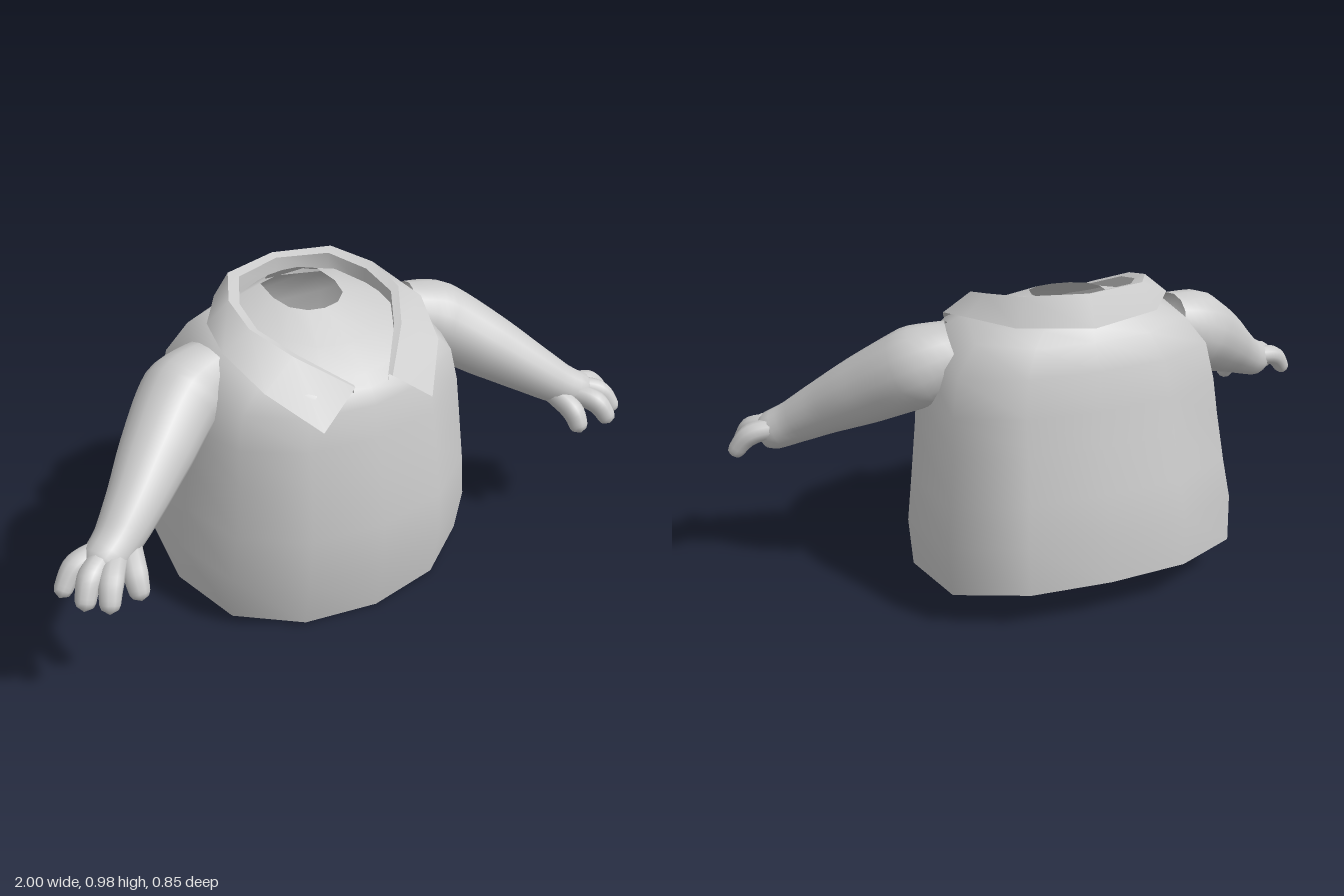
import * as THREE from 'three';
import { mergeVertices } from 'three/addons/utils/BufferGeometryUtils.js';

const material = new THREE.MeshStandardMaterial({ color: 0xcccccc, side: THREE.DoubleSide });

function addMesh(parent, name, geometry) {
  const mesh = new THREE.Mesh(geometry, material);
  mesh.name = name;
  parent.add(mesh);
  return mesh;
}

// Skin a list of equally long rows of [x, y, z] points
function loft(rows, closed) {
  const n = rows[0].length;
  const index = [];
  for (let i = 0; i < rows.length - 1; i++) {
    for (let j = 0; j < (closed ? n : n - 1); j++) {
      const k = (j + 1) % n;
      const a = i * n + j, b = i * n + k, c = a + n, d = b + n;
      index.push(a, b, c, b, d, c);
    }
  }
  const g = new THREE.BufferGeometry();
  g.setAttribute('position', new THREE.Float32BufferAttribute(rows.flat(2), 3));
  g.setIndex(index);
  g.computeVertexNormals();
  return g;
}

// Tapered tube: each point is [x, y, z, radius]; side mirrors it in x
function limb(points, side, segments, sides) {
  const curve = new THREE.CatmullRomCurve3(points.map(p => new THREE.Vector3(p[0] * side, p[1], p[2])));
  const g = new THREE.TubeGeometry(curve, segments, 1, sides);
  const pos = g.attributes.position;
  const v = new THREE.Vector3();
  for (let i = 0; i <= segments; i++) {
    const u = i / segments;
    const t = curve.getUtoTmapping(u) * (points.length - 1);
    const k = Math.min(Math.floor(t), points.length - 2);
    let r = THREE.MathUtils.lerp(points[k][3], points[k + 1][3], t - k);
    // round the far end off into a dome
    const left = (1 - u) * curve.getLength();
    const cap = points[points.length - 1][3];
    if (left < cap) r *= Math.sqrt(Math.max(0, 1 - (1 - left / cap) ** 2));
    const centre = curve.getPointAt(u);
    for (let j = 0; j <= sides; j++) {
      const q = i * (sides + 1) + j;
      v.fromBufferAttribute(pos, q).sub(centre).multiplyScalar(r).add(centre);
      pos.setXYZ(q, v.x, v.y, v.z);
    }
  }
  g.deleteAttribute('uv');
  g.deleteAttribute('normal');
  const merged = mergeVertices(g, 1e-5);
  merged.computeVertexNormals();
  return merged;
}

// Mirror half a row of points, running from +x round the back to -x
const mirrorRow = half => [...half, ...half.slice(0, -1).reverse().map(([x, y, z]) => [-x, y, z])];

function buildTorso(group) {
  // plan outline, front to back, as fractions of half width and depth
  const plan = [[0, 1], [0.48, 0.91], [0.86, 0.6], [1, 0.06], [0.92, -0.68], [0.5, -0.95], [0, -1]];
  const outline = [...plan, ...plan.slice(1, -1).reverse().map(([x, z]) => [-x, z])];
  // half width, side y, front z, front y, back z, back y
  const rings = [
    [0.50, 0.075, 0.37, 0.00, -0.425, 0.125],
    [0.505, 0.22, 0.40, 0.17, -0.415, 0.28],
    [0.485, 0.36, 0.40, 0.33, -0.392, 0.40],
    [0.465, 0.53, 0.38, 0.50, -0.362, 0.54],
    [0.455, 0.64, 0.36, 0.62, -0.338, 0.65],
    [0.43, 0.75, 0.34, 0.72, -0.315, 0.765],
    [0.36, 0.84, 0.315, 0.765, -0.28, 0.84],
    [0.29, 0.87, 0.28, 0.795, -0.25, 0.88],
    [0.20, 0.90, 0.19, 0.85, -0.21, 0.91],
    [0.11, 0.93, 0.065, 0.915, -0.18, 0.94],
  ];
  const rows = rings.map(([w, ys, zf, yf, zb, yb]) => outline.map(([x, t]) => [
    x * w,
    ys + (yf - yb) / 2 * t + ((yf + yb) / 2 - ys) * t * t,
    (zf + zb) / 2 + t * (zf - zb) / 2,
  ]));
  addMesh(group, 'torso', loft(rows, true));
}

function buildCollar(group) {
  const hem = mirrorRow([[0.19, 0.695, 0.357], [0.305, 0.795, 0.225], [0.35, 0.865, 0.07],
    [0.325, 0.893, -0.07], [0.22, 0.893, -0.22], [0, 0.882, -0.275]]);
  const fold = mirrorRow([[0.065, 0.79, 0.325], [0.19, 0.865, 0.19], [0.262, 0.92, 0.07],
    [0.255, 0.953, -0.06], [0.185, 0.974, -0.19], [0, 0.977, -0.24]]);
  const rim = mirrorRow([[0.06, 0.79, 0.31], [0.17, 0.86, 0.18], [0.235, 0.91, 0.07],
    [0.225, 0.94, -0.05], [0.16, 0.965, -0.165], [0, 0.968, -0.215]]);
  const inner = rim.map(([x, y, z]) => [x, y - 0.06, z]);
  const collar = new THREE.Group();
  collar.name = 'collar';
  addMesh(collar, 'collarFlap', loft([hem, fold], false));
  addMesh(collar, 'collarRim', loft([fold, rim], false));
  addMesh(collar, 'collarLining', loft([rim, inner], false));
  group.add(collar);
}

function buildArm(group, side) {
  const arm = new THREE.Group();
  arm.name = side > 0 ? 'leftArm' : 'rightArm';
  // sleeve running on into the palm
  addMesh(arm, 'armAndPalm', limb([
    [0.34, 0.77, -0.025, 0.10], [0.45, 0.73, 0.005, 0.127], [0.60, 0.635, 0.11, 0.107],
    [0.71, 0.56, 0.195, 0.085], [0.80, 0.50, 0.255, 0.068], [0.86, 0.47, 0.285, 0.062],
    [0.905, 0.45, 0.305, 0.045],
  ], side, 28, 16));
  // three fingers and a thumb, curling down
  const digits = {
    littleFinger: [[0.85, 0.49, 0.255, 0.034], [0.93, 0.475, 0.265, 0.034], [0.99, 0.405, 0.285, 0.024]],
    middleFinger: [[0.85, 0.49, 0.285, 0.036], [0.915, 0.47, 0.33, 0.036], [0.955, 0.40, 0.368, 0.026]],
    indexFinger: [[0.82, 0.48, 0.29, 0.036], [0.87, 0.46, 0.365, 0.036], [0.90, 0.395, 0.41, 0.026]],
    thumb: [[0.77, 0.48, 0.27, 0.036], [0.79, 0.44, 0.345, 0.036], [0.795, 0.378, 0.385, 0.027]],
  };
  for (const [name, points] of Object.entries(digits)) {
    addMesh(arm, name, limb(points, side, 14, 10));
  }
  group.add(arm);
}

export function createModel() {
  const model = new THREE.Group();
  model.name = 'shirtedUpperBody';
  buildTorso(model);
  buildCollar(model);
  for (const side of [1, -1]) buildArm(model, side);
  return model;
}
